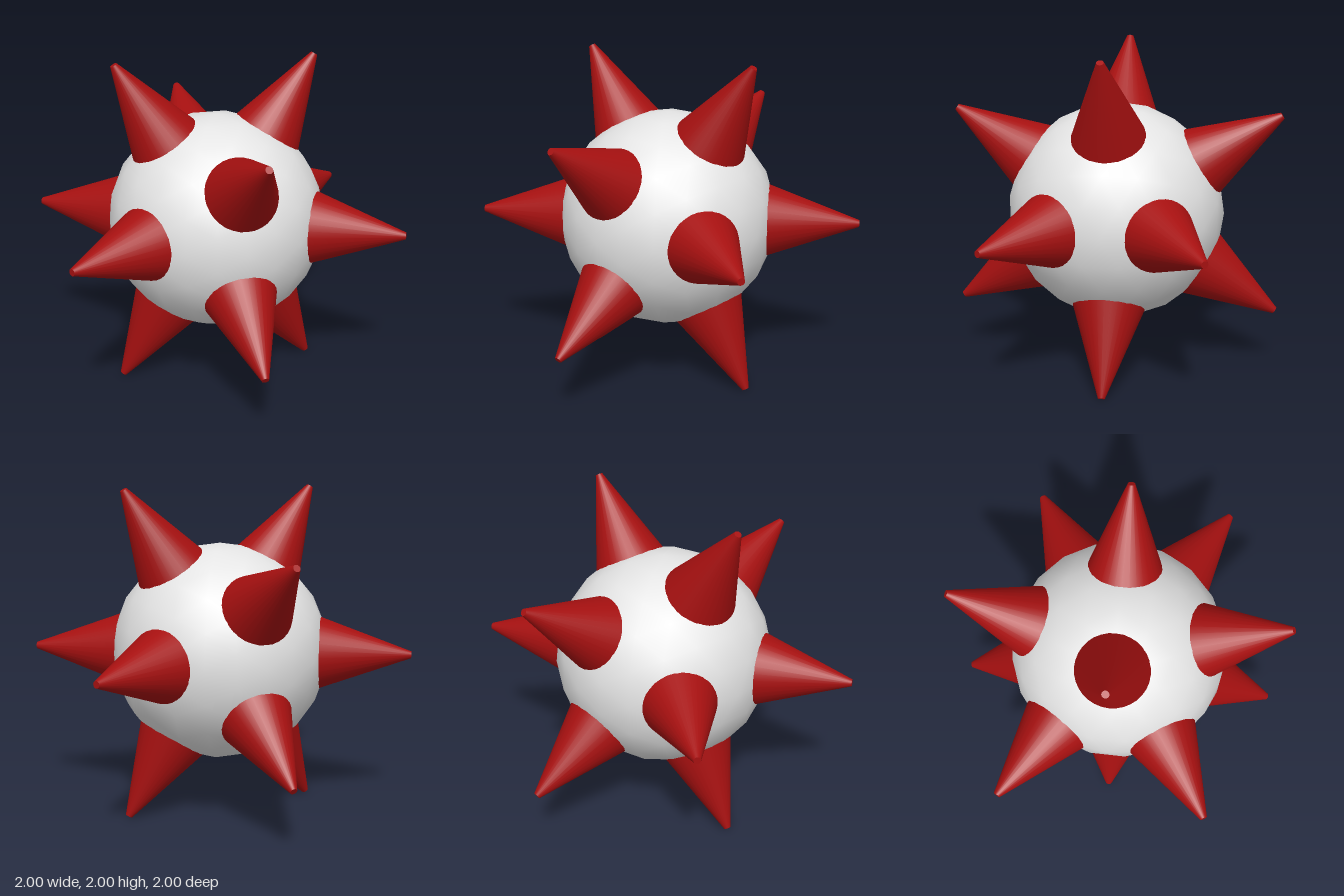
import * as THREE from 'three';

export function createModel() {
  const group = new THREE.Group();
  group.name = 'spikedBall';

  const white = new THREE.MeshStandardMaterial({ color: 0xe4e4e4 });
  white.name = 'white';
  const red = new THREE.MeshStandardMaterial({ color: 0xa61010 });
  red.name = 'red';

  // Round body: smooth icosphere whose corners point along the spikes
  const body = new THREE.Mesh(new THREE.IcosahedronGeometry(0.66, 3), white);
  body.name = 'body';
  body.position.y = 1;
  group.add(body);

  // Blunt-tipped spike, rooted inside the body and pointing along +y
  const inner = 0.55, outer = 1.161;
  const spikeGeometry = new THREE.CylinderGeometry(0.021, 0.24, outer - inner, 32);
  spikeGeometry.translate(0, (inner + outer) / 2, 0);

  // One spike on each of the twelve icosahedron corners
  const up = new THREE.Vector3(0, 1, 0);
  const phi = (1 + Math.sqrt(5)) / 2;
  const spikes = new THREE.Group();
  spikes.name = 'spikes';
  spikes.position.y = 1;
  for (const a of [-1, 1]) {
    for (const b of [-phi, phi]) {
      for (const corner of [[a, b, 0], [0, a, b], [b, 0, a]]) {
        const spike = new THREE.Mesh(spikeGeometry, red);
        spike.name = 'spike';
        spike.quaternion.setFromUnitVectors(up, new THREE.Vector3(...corner).normalize());
        spikes.add(spike);
      }
    }
  }
  group.add(spikes);
  return group;
}
